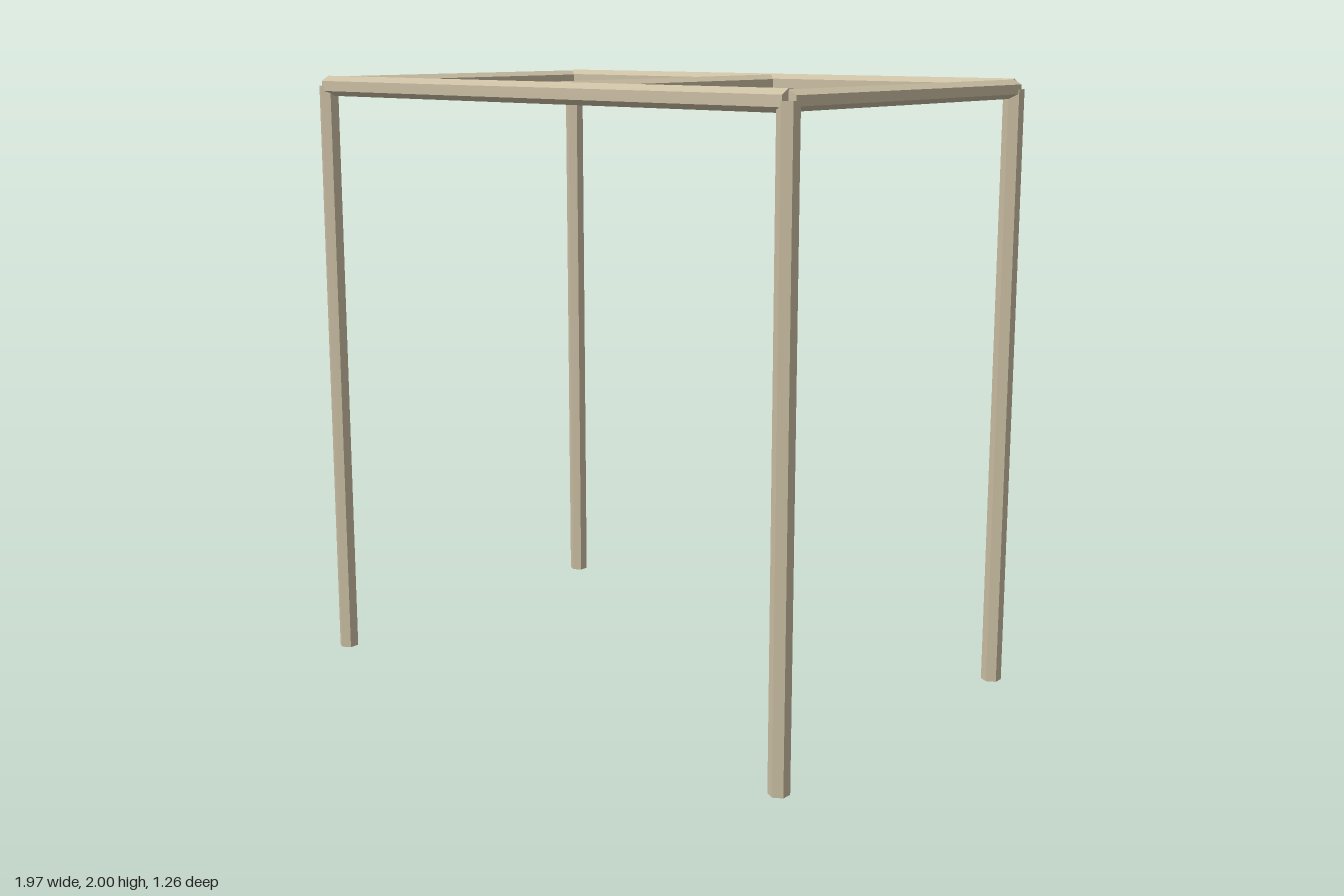
import * as THREE from 'three';

const X = 0.955, Z = 0.597, TOP = 1.967;  // frame centre lines
const MAIN = 0.033, CROSS = 0.03;         // hexagonal pole radii

export function createModel() {
  const model = new THREE.Group();
  const wood = new THREE.MeshStandardMaterial({ color: 0xc9bda2, flatShading: true });
  wood.name = 'pale wood';

  // six-sided pole along y, x or z; horizontal poles keep a ridge on top
  function pole(name, axis, length, radius, x, y, z) {
    const geometry = new THREE.CylinderGeometry(radius, radius, length, 6);
    if (axis !== 'y') geometry.rotateX(Math.PI / 2);
    if (axis === 'x') geometry.rotateY(Math.PI / 2);
    const mesh = new THREE.Mesh(geometry, wood);
    mesh.name = name;
    mesh.position.set(x, y, z);
    model.add(mesh);
  }

  for (const [zName, sz] of [['front', 1], ['back', -1]]) {
    // corner legs
    for (const [xName, sx] of [['Left', 1], ['Right', -1]]) {
      pole(`${zName}${xName}Leg`, 'y', TOP, MAIN, sx * X, TOP / 2, sz * Z);
    }
    // long top rails
    pole(`${zName}Rail`, 'x', 2 * X, MAIN, 0, TOP, sz * Z);
  }

  // short rails at both ends and across the middle
  for (const [name, x] of [['leftRail', X], ['middleRail', 0], ['rightRail', -X]]) {
    pole(name, 'z', 2 * Z, CROSS, x, TOP, 0);
  }
  return model;
}
